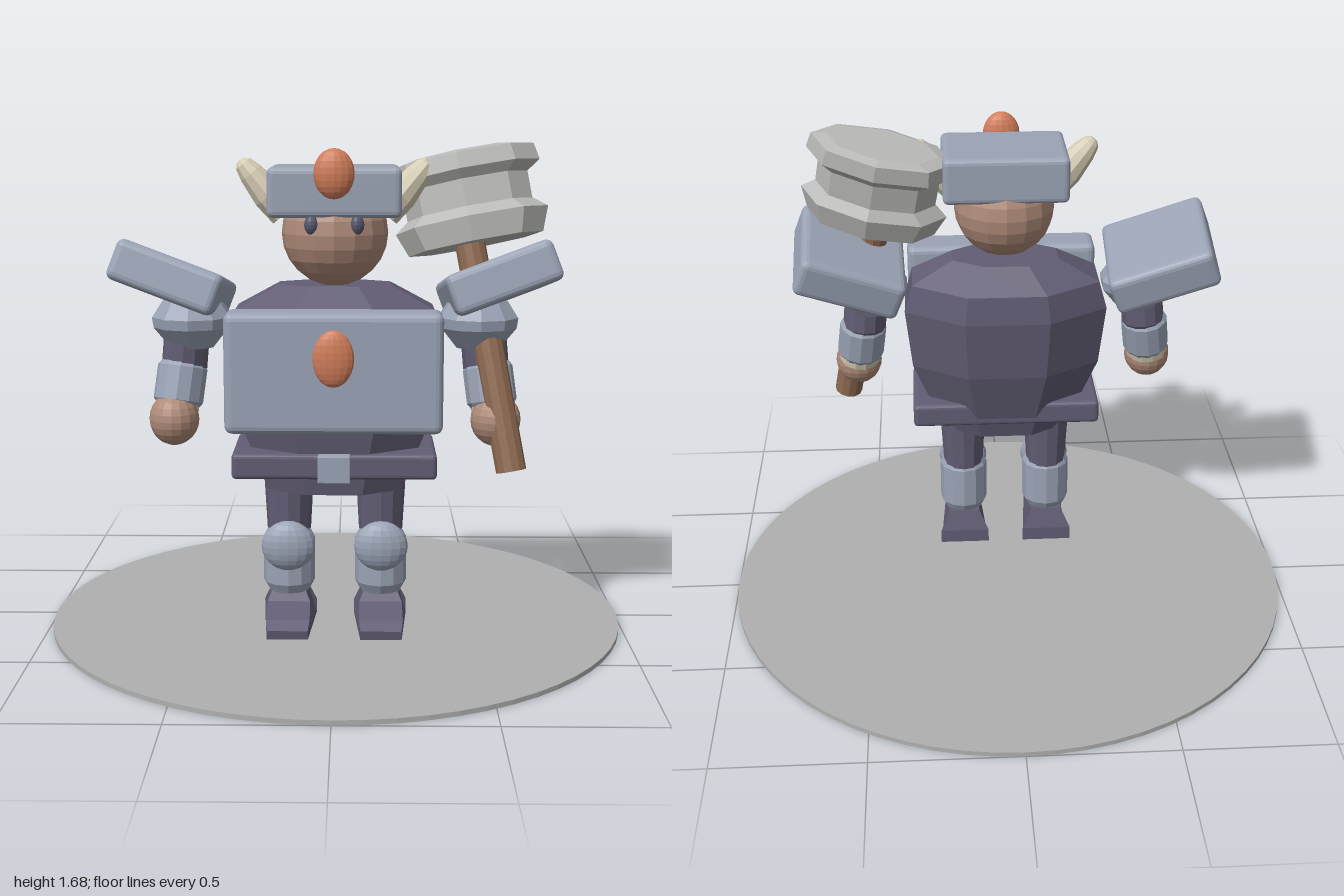
import * as THREE from 'three';
import { RoundedBoxGeometry } from 'three/addons/geometries/RoundedBoxGeometry.js';

const mat = (name, color) => Object.assign(new THREE.MeshStandardMaterial({ color }), { name });
const V = (x, y, z) => new THREE.Vector3(x, y, z);
const UP = V(0, 1, 0);

export function createModel() {
  const root = new THREE.Group();
  root.name = 'armouredWarrior';
  const armour = mat('blue grey armour', 0x9aa3b5);
  const cloth = mat('dark violet cloth', 0x625d74);
  const skin = mat('skin', 0xae8a78);
  const gem = mat('orange gem', 0xd07c5a);
  const stone = mat('hammer stone', 0xb8b8b6);
  const wood = mat('wood', 0x906c52);
  const horn = mat('ivory', 0xd6cdb4);
  const eye = mat('eye', 0x55566c);
  const ground = mat('base grey', 0xb0b0b0);

  // Adds a faceted mesh
  function add(name, geo, material, pos = V(0, 0, 0), parent = root) {
    const g = geo.index ? geo.toNonIndexed() : geo;
    g.computeVertexNormals();
    const m = new THREE.Mesh(g, material);
    m.name = name;
    m.position.copy(pos);
    parent.add(m);
    return m;
  }
  const ball = (name, material, pos, rx, ry, rz, w = 16, h = 12) =>
    add(name, new THREE.SphereGeometry(1, w, h).scale(rx, ry, rz), material, pos);
  const block = (name, material, pos, w, h, d, r = 0.02) =>
    add(name, new RoundedBoxGeometry(w, h, d, 2, r), material, pos);
  // Lathed solid running from a to b; profile holds [radius, fraction along]
  function limb(name, material, a, b, profile, sides = 12) {
    const len = a.distanceTo(b);
    const pts = profile.map(([r, t]) => new THREE.Vector2(r, t * len));
    const m = add(name, new THREE.LatheGeometry(pts, sides), material, a);
    m.quaternion.setFromUnitVectors(UP, b.clone().sub(a).normalize());
    return m;
  }
  const tube = (ra, rb) => [[0, 0], [ra, 0], [rb, 1], [0, 1]];
  const barrel = r => [[0, 0], [r * 0.8, 0], [r, 0.15], [r, 0.85], [r * 0.8, 1], [0, 1]];

  // Base disc
  add('base', new THREE.CylinderGeometry(1, 1, 0.016, 64), ground, V(0, 0.008, 0));

  // Eight-sided torso, leaning back towards the top
  const torso = [[0, 0.54], [0.24, 0.54], [0.3, 0.68], [0.36, 0.82], [0.385, 1.04], [0.355, 1.14], [0.2, 1.22], [0, 1.22]];
  const torsoGeo = new THREE.LatheGeometry(torso.map(p => new THREE.Vector2(...p)), 8);
  torsoGeo.rotateY(Math.PI / 8).scale(1, 1, 0.62);
  const tp = torsoGeo.attributes.position;
  for (let i = 0; i < tp.count; i++) tp.setZ(i, tp.getZ(i) + 0.25 - (tp.getY(i) - 0.54) * 0.07);
  add('torso', torsoGeo, cloth);

  // Chest plate, belt and ornaments
  block('chestPlate', armour, V(0, 0.97, 0.488), 0.69, 0.385, 0.145, 0.025);
  ball('chestGem', gem, V(0, 1.025, 0.583), 0.065, 0.09, 0.026);
  block('belt', cloth, V(0, 0.642, 0.255), 0.67, 0.085, 0.34, 0.015);
  block('buckle', armour, V(0, 0.642, 0.44), 0.105, 0.09, 0.045, 0.004);

  // Head, helmet and gem
  ball('head', skin, V(0, 1.39, 0.235), 0.175, 0.175, 0.175);
  block('helmet', armour, V(0, 1.527, 0.24), 0.43, 0.16, 0.325, 0.02);
  ball('helmetGem', gem, V(0, 1.588, 0.425), 0.065, 0.08, 0.038);

  // Side profile of a boot as [z, y]
  const boot = [[0.155, 0.06], [0.435, 0.06], [0.44, 0.09], [0.4, 0.115], [0.31, 0.15], [0.29, 0.185], [0.175, 0.185], [0.155, 0.11]];

  for (const [side, s] of [['left', 1], ['right', -1]]) {
    const name = part => side + part;
    ball(name('Eye'), eye, V(s * 0.073, 1.425, 0.385), 0.023, 0.032, 0.02, 12, 8);
    limb(name('Horn'), horn, V(s * 0.165, 1.45, 0.235), V(s * 0.31, 1.625, 0.235),
      [[0, 0], [0.05, 0], [0.055, 0.35], [0.042, 0.75], [0.03, 0.93], [0.015, 0.99], [0, 1]], 10);

    // Shoulder and arm
    const pad = block(name('ShoulderPad'), armour, V(s * 0.543, 1.222, 0.165), 0.37, 0.14, 0.4, 0.025);
    pad.rotation.set(-0.18, s * 0.04, s * 0.36);
    limb(name('ShoulderGuard'), armour, V(s * 0.475, 1.01, 0.23), V(s * 0.475, 1.18, 0.23),
      [[0, 0], [0.075, 0], [0.13, 0.4], [0.135, 0.6], [0.09, 1], [0, 1]], 10);
    limb(name('UpperArm'), cloth, V(s * 0.49, 1.08, 0.235), V(s * 0.505, 0.92, 0.235), barrel(0.076));
    limb(name('Forearm'), armour, V(s * 0.505, 0.965, 0.235), V(s * 0.525, 0.81, 0.27), barrel(0.083));
    limb(name('Cuff'), horn, V(s * 0.523, 0.835, 0.266), V(s * 0.528, 0.8, 0.277), tube(0.074, 0.074));
    ball(name('Hand'), skin, V(s * 0.532, 0.778, 0.3), 0.083, 0.088, 0.083);

    // Leg and boot
    const x = s * 0.155;
    limb(name('Thigh'), cloth, V(x, 0.36, 0.24), V(x, 0.6, 0.24), tube(0.072, 0.085));
    ball(name('Knee'), armour, V(x, 0.35, 0.325), 0.09, 0.085, 0.045);
    limb(name('Shin'), armour, V(x, 0.18, 0.25), V(x, 0.395, 0.25), barrel(0.087));
    const shape = new THREE.Shape(boot.map(p => new THREE.Vector2(...p)));
    const geo = new THREE.ExtrudeGeometry(shape, { depth: 0.18, bevelEnabled: false });
    geo.translate(0, 0, -0.09).rotateY(-Math.PI / 2);
    const p = geo.attributes.position;
    for (let i = 0; i < p.count; i++) {
      const high = Math.max(0, p.getY(i) - 0.11) / 0.075;
      const toe = Math.max(0, p.getZ(i) - 0.32) / 0.12;
      p.setX(i, p.getX(i) * (1 - 0.38 * high) * (1 - 0.25 * toe));
    }
    add(name('Boot'), geo, cloth, V(x, 0, 0));
  }

  // War hammer held in the left hand: round shaft and a waisted eight-sided head
  const foot = V(0.58, 0.62, 0.372), top = V(0.42, 1.49, 0.19);
  limb('hammerShaft', wood, foot, top, tube(0.05, 0.05));
  const hammer = new THREE.Group();
  hammer.name = 'hammer';
  hammer.position.set(0.437, 1.495, 0.185);
  hammer.quaternion.setFromUnitVectors(UP, top.clone().sub(foot).normalize());
  root.add(hammer);
  const rings = [[0, -0.15], [0.88, -0.15], [1, -0.07], [0.82, -0.035], [0.82, 0.055], [1, 0.085], [0.96, 0.14], [0.75, 0.152], [0, 0.152]];
  const headGeo = new THREE.LatheGeometry(rings.map(p => new THREE.Vector2(...p)), 8).scale(0.255, 1, 0.14);
  add('hammerHead', headGeo, stone, V(0, 0, 0), hammer).rotation.y = -0.14;

  return root;
}
